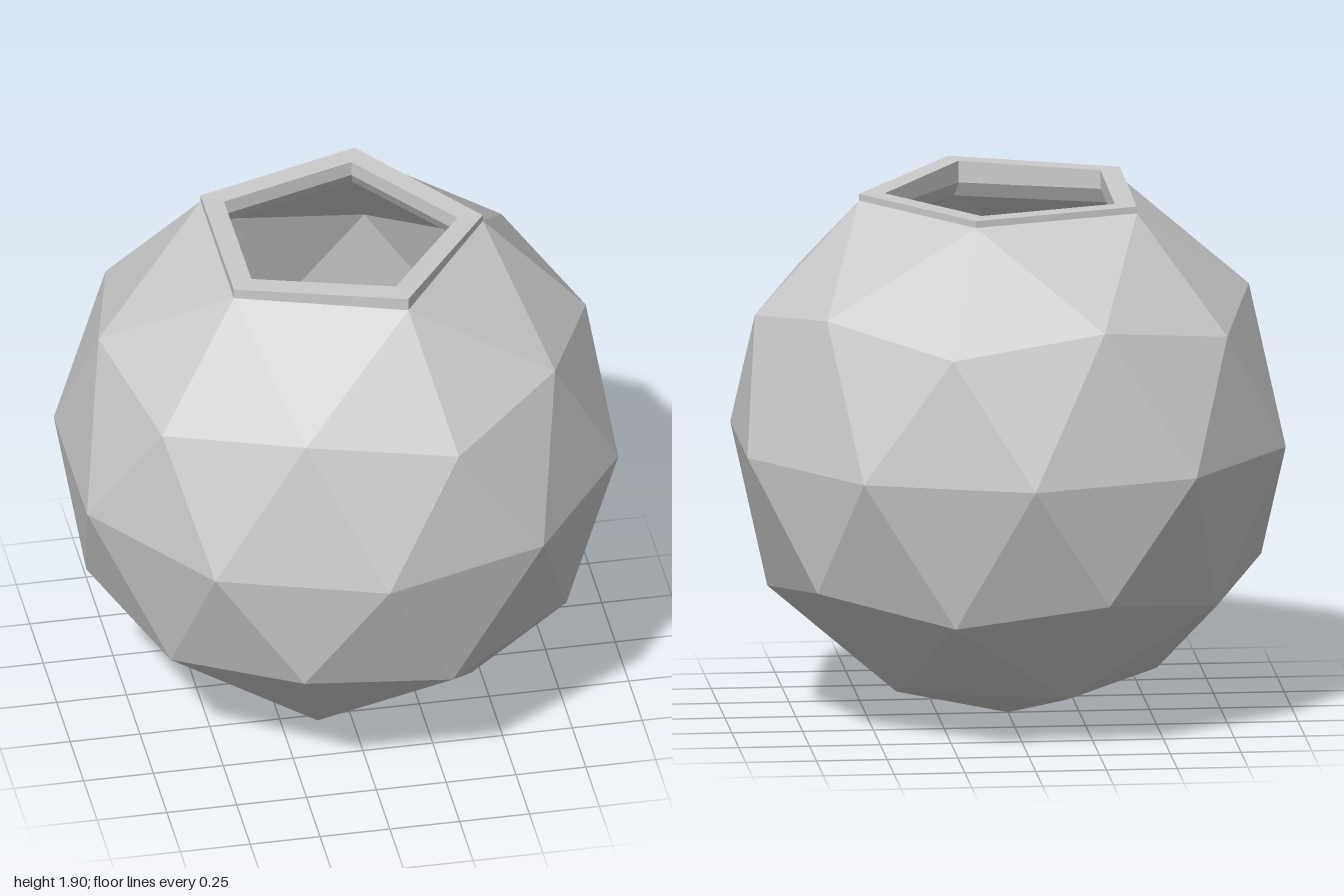
import * as THREE from 'three';

const STEP = Math.PI / 5;
const point = (r, y, k) => new THREE.Vector3(r * Math.cos(k * STEP), y, r * Math.sin(k * STEP));
const ring = (n, fn) => Array.from({ length: n }, (_, i) => fn(i));

function meshFrom(points, name) {
  const geometry = new THREE.BufferGeometry().setFromPoints(points);
  geometry.computeVertexNormals();
  const mesh = new THREE.Mesh(geometry, new THREE.MeshStandardMaterial({ color: 0xcccccc, flatShading: true }));
  mesh.name = name;
  return mesh;
}

// Faceted ball of 80 triangles with the five around the top pole left out
function ballTriangles() {
  const pole = new THREE.Vector3(0, 1, 0);
  const a = ring(5, j => point(0.5257, 0.8507, 2 * j));
  const b = ring(10, k => (k % 2 ? point(0.8507, 0.5257, k) : point(0.8944, 0.4472, k)));
  const c = ring(10, k => point(1, 0, k + 0.5));
  const upper = [], cap = [];
  for (let j = 0; j < 5; j++) {
    const k = 2 * j, n = (j + 1) % 5;
    upper.push([a[j], b[k + 1], b[k]]);
    upper.push([a[j], b[k], b[(k + 9) % 10]]);
    upper.push([a[j], a[n], b[k + 1]]);
    cap.push([pole, a[n], a[j]]);
  }
  for (let k = 0; k < 10; k++) {
    const n = (k + 1) % 10;
    upper.push([b[k], b[n], c[k]]);
    upper.push([c[k], b[n], c[n]]);
  }
  // The lower half is the upper half turned through the centre
  const lower = [...upper, ...cap].map(t => t.map(p => p.clone().negate()).reverse());
  return [...upper, ...lower];
}

function shell(scale, inward, name) {
  const points = ballTriangles().flatMap(t => (inward ? [...t].reverse() : t).map(p => p.clone().multiplyScalar(scale)));
  const mesh = meshFrom(points, name);
  mesh.position.y = 1;
  return mesh;
}

// Five-sided lip, slightly higher at the front
function openingRim() {
  const top = [1.875, 1.898, 1.887, 1.875, 1.875];
  const rings = [
    ring(5, j => point(0.5257, 1.8507, 2 * j)),
    ring(5, j => point(0.5257, top[j], 2 * j)),
    ring(5, j => point(0.435, top[j], 2 * j)),
    ring(5, j => point(0.435, 1.82, 2 * j)),
    ring(5, j => point(0.4731, 1.7656, 2 * j)),
  ];
  const points = [];
  for (let i = 0; i < rings.length - 1; i++) {
    const p = rings[i], q = rings[i + 1];
    for (let j = 0; j < 5; j++) {
      const n = (j + 1) % 5;
      points.push(p[n], p[j], q[j], p[n], q[j], q[n]);
    }
  }
  return meshFrom(points, 'openingRim');
}

export function createModel() {
  const group = new THREE.Group();
  group.name = 'facetedBowl';
  group.add(shell(1, false, 'outerShell'), shell(0.9, true, 'innerShell'), openingRim());
  return group;
}
